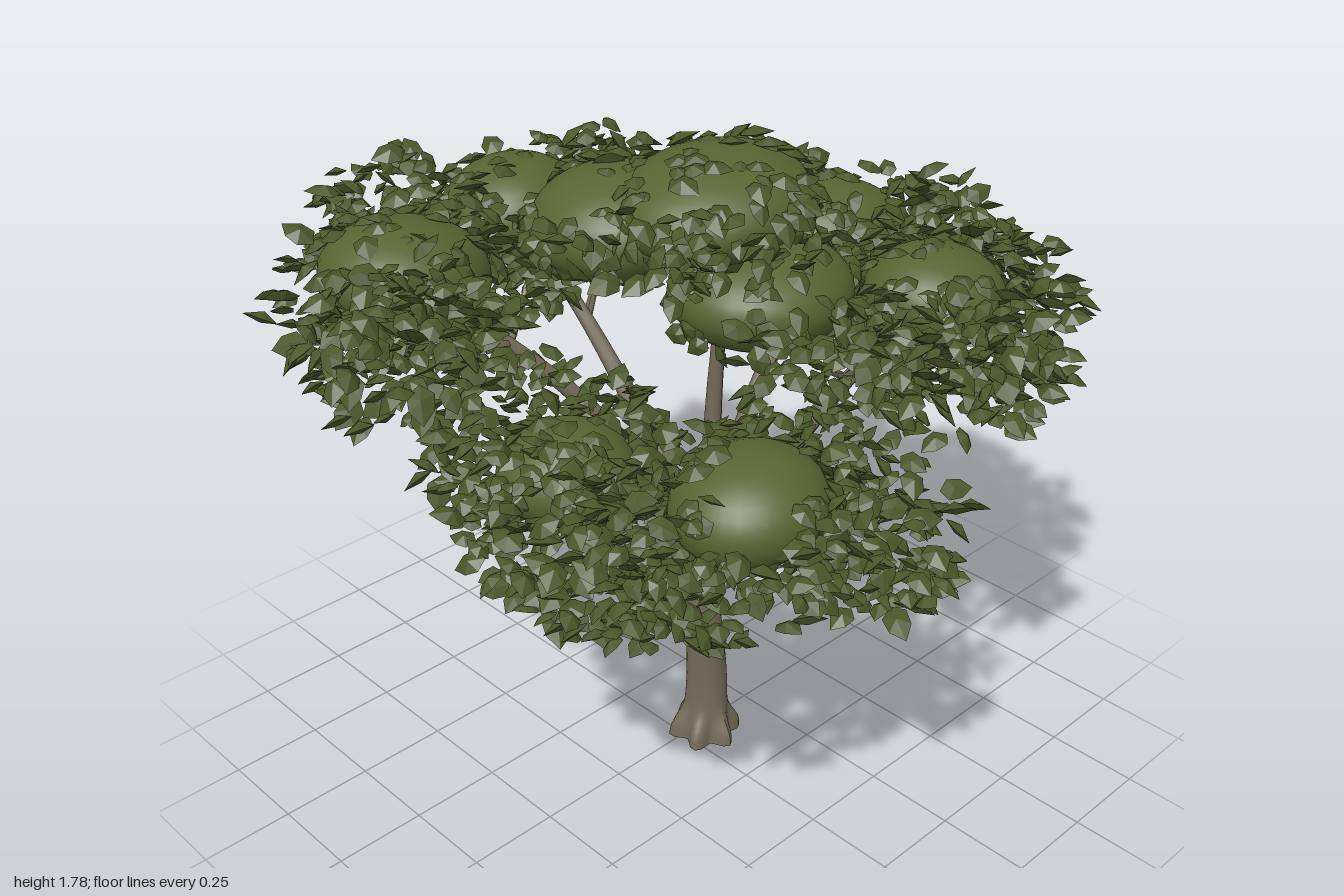
import * as THREE from 'three';
import { mergeGeometries } from 'three/addons/utils/BufferGeometryUtils.js';

const V = (p) => new THREE.Vector3(...p);

function makeRandom(seed) {
  return () => {
    seed = (seed * 1664525 + 1013904223) % 4294967296;
    return seed / 4294967296;
  };
}

// Tube whose radius is set by a rule of length (t) and angle
function taperedTube(points, radiusAt, segments, sides) {
  const curve = new THREE.CatmullRomCurve3(points.map(V));
  const geo = new THREE.TubeGeometry(curve, segments, 1, sides);
  const pos = geo.attributes.position, uv = geo.attributes.uv, p = new THREE.Vector3();
  for (let i = 0; i < pos.count; i++) {
    const t = uv.getX(i), c = curve.getPointAt(t);
    p.fromBufferAttribute(pos, i).sub(c).multiplyScalar(radiusAt(t, uv.getY(i) * Math.PI * 2)).add(c);
    pos.setXYZ(i, p.x, p.y, p.z);
  }
  geo.computeVertexNormals();
  return geo;
}

// Closed pointed leaf with a raised centre on both faces, 1 long along +z
function leafGeometry() {
  const geo = new THREE.BufferGeometry();
  geo.setAttribute('position', new THREE.Float32BufferAttribute([
    0, 0, 0, 0.33, 0.02, 0.25, 0.3, 0.0, 0.65, 0, -0.08, 1,
    -0.3, 0.0, 0.65, -0.33, 0.02, 0.25, 0, 0.19, 0.45, 0, -0.13, 0.45], 3));
  const index = [];
  for (let i = 0; i < 6; i++) {
    const j = (i + 1) % 6;
    index.push(6, j, i, 7, i, j);
  }
  geo.setIndex(index);
  const flat = geo.toNonIndexed();
  flat.computeVertexNormals();
  return flat;
}

// Foliage masses: centre, radii, tilt about z, leaves on the surface
const MASSES = [
  { c: [0.03, 1.635, 0.07], r: [0.25, 0.125, 0.23], tilt: 0.1, n: 110 },
  { c: [-0.12, 1.575, -0.12], r: [0.2, 0.13, 0.21], tilt: 0.15, n: 70 },
  { c: [-0.53, 1.475, -0.41], r: [0.21, 0.13, 0.2], tilt: -0.1, n: 60 },
  { c: [-0.03, 1.45, -0.62], r: [0.19, 0.13, 0.18], tilt: 0.1, n: 60 },
  { c: [0.63, 1.36, -0.06], r: [0.2, 0.13, 0.18], tilt: -0.1, n: 60 },
  { c: [0.48, 1.36, 0.4], r: [0.18, 0.13, 0.18], tilt: -0.1, n: 60 },
  { c: [-0.28, 1.12, 0.5], r: [0.19, 0.13, 0.18], tilt: 0.1, n: 60 },
  { c: [-0.46, 1.1, 0.08], r: [0.17, 0.12, 0.16], tilt: 0, n: 50 },
  { c: [0.17, 1.375, 0.1], r: [0.24, 0.135, 0.23], tilt: 0, n: 55 },
];

// Loose leaf clouds: centre, radii, leaf count
const CLOUDS = [
  [[-0.72, 1.44, -0.16], [0.24, 0.18, 0.21], 190],
  [[-0.34, 1.48, -0.66], [0.21, 0.18, 0.23], 180],
  [[-0.55, 1.44, -0.38], [0.32, 0.18, 0.3], 190],
  [[-0.18, 1.42, -0.36], [0.2, 0.14, 0.16], 80],
  [[0.05, 1.4, -0.58], [0.28, 0.19, 0.27], 180],
  [[0.35, 1.38, -0.64], [0.18, 0.19, 0.24], 150],
  [[0.62, 1.31, -0.33], [0.26, 0.19, 0.21], 200],
  [[0.71, 1.32, 0.08], [0.23, 0.22, 0.33], 250],
  [[0.57, 1.29, 0.38], [0.37, 0.2, 0.29], 270],
  [[0.3, 1.32, 0.62], [0.21, 0.17, 0.25], 160],
  [[-0.35, 1.05, 0.46], [0.4, 0.21, 0.31], 290],
  [[-0.05, 1.03, 0.66], [0.2, 0.19, 0.23], 150],
  [[-0.58, 1.06, 0.25], [0.23, 0.21, 0.28], 210],
  [[-0.4, 1.1, -0.05], [0.3, 0.17, 0.32], 190],
  [[0.12, 1.26, 0.38], [0.24, 0.16, 0.18], 100],
  [[0.38, 1.34, 0.14], [0.15, 0.14, 0.2], 70],
  [[0.0, 1.6, 0.02], [0.35, 0.15, 0.35], 130],
];

// Main limbs: path and start radius
const LIMBS = [
  [[[0.04, 0.47, 0.04], [0.0, 0.7, 0.1], [-0.1, 0.82, 0.18], [-0.24, 0.9, 0.36], [-0.28, 1.1, 0.5]], 0.037],
  [[[0.03, 0.55, 0.04], [-0.03, 0.76, 0.06], [-0.18, 0.89, 0.07], [-0.32, 0.98, 0.06], [-0.46, 1.1, 0.08]], 0.032],
  [[[0.03, 0.47, 0.04], [0.1, 0.72, 0.1], [0.23, 0.98, 0.2], [0.35, 1.17, 0.29], [0.48, 1.33, 0.4]], 0.04],
  [[[0.04, 0.45, 0.03], [0.11, 0.69, 0.02], [0.25, 0.95, -0.01], [0.4, 1.14, -0.03], [0.62, 1.33, -0.06]], 0.04],
  [[[0.03, 0.47, 0.03], [0.04, 0.72, -0.04], [0.03, 0.95, -0.2], [0.01, 1.18, -0.38], [-0.03, 1.42, -0.6]], 0.038],
  [[[0.03, 0.5, 0.03], [-0.02, 0.78, -0.06], [-0.16, 1.05, -0.17], [-0.33, 1.26, -0.28], [-0.52, 1.45, -0.4]], 0.036],
  [[[0.035, 0.5, 0.03], [0.04, 0.8, 0.05], [0.05, 1.1, 0.06], [0.04, 1.35, 0.08], [0.0, 1.58, 0.06]], 0.034],
];

export function createModel() {
  const tree = new THREE.Group();
  tree.name = 'tree';
  const bark = new THREE.MeshStandardMaterial({ color: 0x756b58 });
  bark.name = 'bark brown';
  const moss = new THREE.MeshStandardMaterial({ color: 0x576432 });
  moss.name = 'foliage green';
  const leafGreen = new THREE.MeshStandardMaterial({ color: 0x4a562a });
  leafGreen.name = 'leaf green';
  const add = (geo, mat, name) => {
    const mesh = new THREE.Mesh(geo, mat);
    mesh.name = name;
    tree.add(mesh);
    return mesh;
  };
  const rnd = makeRandom(71);
  const spread = () => rnd() * 2 - 1;

  // Trunk with short root lobes
  const trunkRadius = (t, a) =>
    0.064 - 0.024 * t + Math.exp(-Math.pow(t * 9, 3)) * (0.022 + 0.018 * Math.cos(a * 6));
  add(taperedTube([[0.055, 0.005, 0.03], [0.062, 0.2, 0.03], [0.04, 0.45, 0.035], [0.035, 0.66, 0.035]],
    trunkRadius, 36, 36), bark, 'trunk');
  const base = add(new THREE.CircleGeometry(0.08, 20), bark, 'trunkBase');
  base.rotation.x = Math.PI / 2;
  base.position.set(0.055, 0.006, 0.03);

  // Limbs
  LIMBS.forEach(([path, r]) =>
    add(taperedTube(path, (t) => r * (1 - 0.68 * t), 20, 10), bark, 'limb'));

  // Twigs from the limb ends into the leaf clouds
  CLOUDS.forEach(([c]) => {
    const end = V(c);
    let start = null;
    LIMBS.forEach(([path]) => {
      const p = V(path[3]);
      if (!start || p.distanceTo(end) < start.distanceTo(end)) start = p;
    });
    const mid = start.clone().lerp(end, 0.5);
    mid.y -= 0.02;
    add(taperedTube([start.toArray(), mid.toArray(), c], (t) => 0.013 * (1 - 0.7 * t), 8, 6), bark, 'twig');
  });

  // Rounded foliage masses
  MASSES.forEach(({ c, r, tilt }) => {
    const mass = add(new THREE.SphereGeometry(1, 28, 18), moss, 'foliageMass');
    mass.scale.set(...r);
    mass.position.set(...c);
    mass.rotation.z = tilt;
  });

  // Leaves
  const leaf = leafGeometry();
  const leaves = [];
  const placeLeaf = (p, normal, dir, size) => {
    const x = new THREE.Vector3().crossVectors(normal, dir).normalize();
    const z = new THREE.Vector3().crossVectors(x, normal).normalize();
    const m = new THREE.Matrix4().makeBasis(x, normal, z)
      .scale(new THREE.Vector3(size, size, size)).setPosition(p);
    leaves.push(leaf.clone().applyMatrix4(m));
  };

  // Leaves lying on the masses
  MASSES.forEach(({ c, r, tilt, n }) => {
    const axis = new THREE.Vector3(0, 0, 1);
    for (let i = 0; i < n; i++) {
      const y = spread(), a = rnd() * Math.PI * 2, k = Math.sqrt(1 - y * y);
      const d = new THREE.Vector3(k * Math.cos(a), y, k * Math.sin(a));
      const p = d.clone().multiply(V(r)).multiplyScalar(1.02).applyAxisAngle(axis, tilt).add(V(c));
      const normal = d.clone().divide(V(r)).normalize().applyAxisAngle(axis, tilt);
      normal.y += 0.5;
      normal.add(new THREE.Vector3(spread(), spread(), spread()).multiplyScalar(0.3)).normalize();
      placeLeaf(p, normal, new THREE.Vector3(d.x + spread(), spread() * 0.4, d.z + spread()), 0.06 + rnd() * 0.035);
    }
  });

  // Loose leaves, kept out of the masses and sparse above and below them
  const blocked = (p) => MASSES.some(({ c, r }) => {
    const q = p.clone().sub(V(c)).divide(V(r));
    return q.length() < 0.95 || (Math.hypot(q.x, q.z) < 0.85 && Math.abs(q.y) < 2 && rnd() < 0.65);
  });
  CLOUDS.forEach(([c, r, n]) => {
    for (let made = 0, tries = 0; made < n && tries < n * 6; tries++) {
      const d = new THREE.Vector3(spread(), spread(), spread());
      if (d.length() > 1) continue;
      const p = d.clone().multiply(V(r)).add(V(c));
      if (blocked(p)) continue;
      const normal = new THREE.Vector3(spread() * 0.9, 1, spread() * 0.9).normalize();
      const dir = new THREE.Vector3(d.x + spread() * 0.7, spread() * 0.4 - 0.1, d.z + spread() * 0.7);
      placeLeaf(p, normal, dir, 0.06 + rnd() * 0.035);
      made++;
    }
  });
  add(mergeGeometries(leaves), leafGreen, 'leaves');
  return tree;
}
